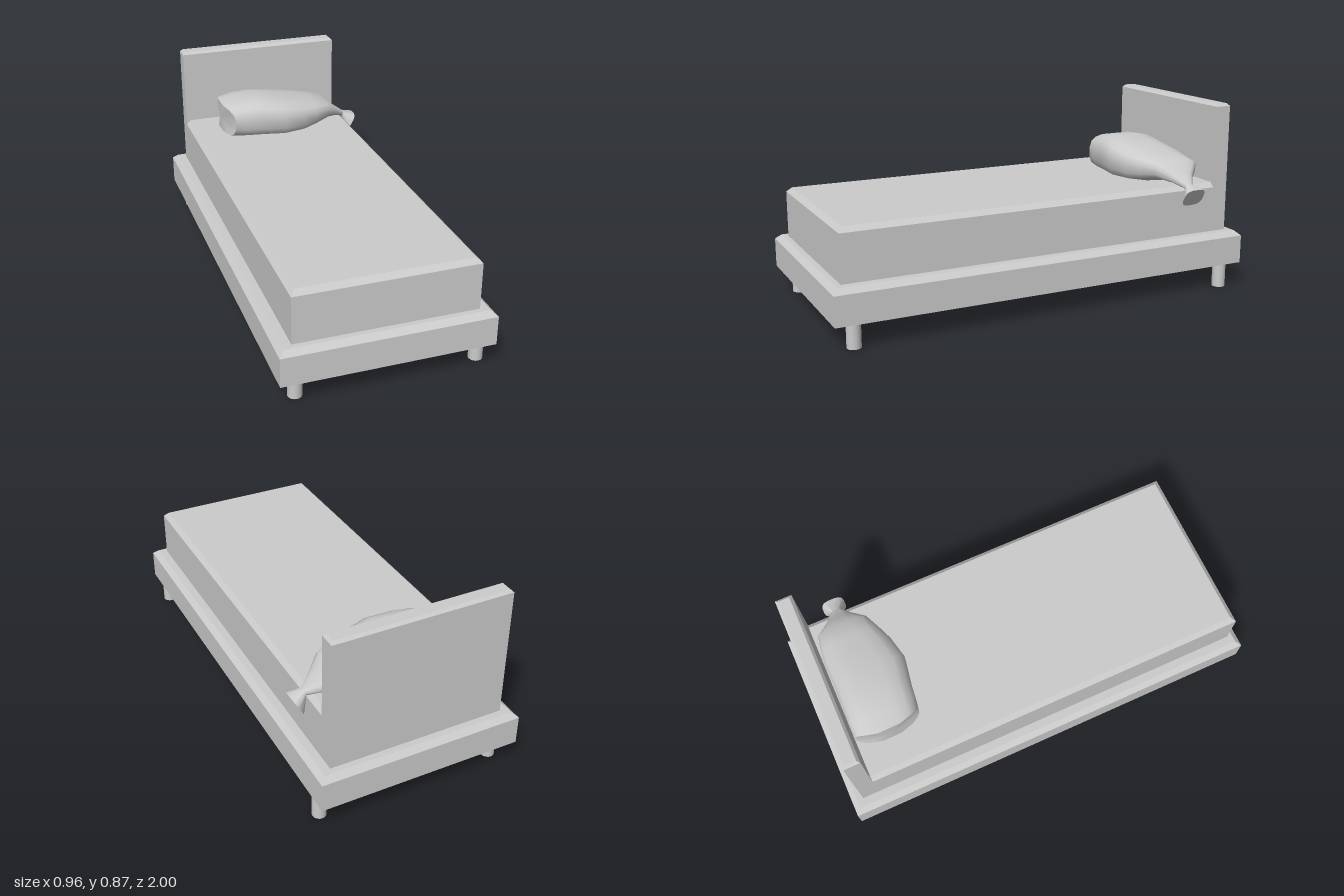
import * as THREE from 'three';
import { toCreasedNormals } from 'three/addons/utils/BufferGeometryUtils.js';

const material = new THREE.MeshStandardMaterial({ color: 0xcccccc });

function addMesh(parent, name, geometry, x = 0, y = 0, z = 0) {
  const mesh = new THREE.Mesh(geometry, material);
  mesh.name = name;
  mesh.position.set(x, y, z);
  parent.add(mesh);
  return mesh;
}

// Box standing on y = 0 whose top edges are chamfered (the back edge is optional)
function chamferedBlock(width, height, depth, inset, drop, chamferBack = true) {
  const geometry = new THREE.BoxGeometry(width, height, depth, 1, 2, 1);
  geometry.translate(0, height / 2, 0);
  const p = geometry.attributes.position;
  for (let i = 0; i < p.count; i++) {
    const level = Math.round((p.getY(i) / height) * 2);
    if (level === 1) p.setY(i, height - drop);
    if (level === 2) {
      p.setX(i, p.getX(i) - Math.sign(p.getX(i)) * inset);
      if (p.getZ(i) > 0 || chamferBack) p.setZ(i, p.getZ(i) - Math.sign(p.getZ(i)) * inset);
    }
  }
  return toCreasedNormals(geometry, 0.2);
}

// Rounded cross-sections lofted along x, closed at both ends
// section: [x, bottom, top, back, front, end bulge, lean]
function loft(sections, sides) {
  const points = [];
  const index = [];
  const squash = (v) => Math.sign(v) * Math.abs(v) ** 0.65;
  for (const [x, bottom, top, back, front, bulge, lean] of sections) {
    for (let j = 0; j < sides; j++) {
      const a = ((j + 0.5) / sides) * Math.PI * 2;
      const u = squash(Math.cos(a));
      const v = squash(Math.sin(a));
      const dy = (v * (top - bottom)) / 2;
      points.push(x - bulge * (1 - u * u) + lean * dy, (top + bottom) / 2 + dy, (front + back) / 2 + (u * (front - back)) / 2);
    }
  }
  const last = (sections.length - 1) * sides;
  for (let i = 0; i < sections.length - 1; i++) {
    for (let j = 0; j < sides; j++) {
      const a = i * sides + j;
      const b = i * sides + ((j + 1) % sides);
      index.push(a, a + sides, b, b, a + sides, b + sides);
    }
  }
  [[0, sections[0]], [last, sections[sections.length - 1]]].forEach(([start, s], end) => {
    const centre = points.length / 3;
    points.push(s[0] - s[5], (s[1] + s[2]) / 2, (s[3] + s[4]) / 2);
    for (let j = 0; j < sides; j++) {
      const a = start + j;
      const b = start + ((j + 1) % sides);
      if (end === 0) index.push(centre, a, b);
      else index.push(centre, b, a);
    }
  });
  const geometry = new THREE.BufferGeometry();
  geometry.setAttribute('position', new THREE.Float32BufferAttribute(points, 3));
  geometry.setIndex(index);
  return toCreasedNormals(geometry, 0.7);
}

export function createModel() {
  const model = new THREE.Group();
  model.name = 'bed';

  // Bed body, turned very slightly about the vertical
  const body = new THREE.Group();
  body.name = 'bedBody';
  body.position.x = -0.004;
  body.rotation.y = -0.0127;
  model.add(body);
  addMesh(body, 'frame', chamferedBlock(0.927, 0.155, 1.988, 0.025, 0.023), 0, 0.11, 0);
  addMesh(body, 'mattress', chamferedBlock(0.803, 0.233, 1.81, 0.022, 0.022, false), 0, 0.265, 0.04);
  addMesh(body, 'headboard', chamferedBlock(0.803, 0.602, 0.075, 0.012, 0.012), 0, 0.265, -0.9025);

  // Legs
  const leg = new THREE.CylinderGeometry(0.031, 0.031, 0.115, 16);
  const legSpots = {
    frontLeftLeg: [0.403, 0.91],
    frontRightLeg: [-0.395, 0.906],
    backLeftLeg: [0.436, -0.894],
    backRightLeg: [-0.388, -0.9],
  };
  for (const [name, [x, z]] of Object.entries(legSpots)) addMesh(model, name, leg, x, 0.0575, z);

  // Sagging pillow gathered into a knotted, flared end over the mattress edge
  const pillow = [
    [-0.21, 0.485, 0.642, -0.862, -0.56, 0.045, 0],
    [-0.16, 0.475, 0.658, -0.866, -0.55, 0.015, 0],
    [-0.08, 0.47, 0.667, -0.862, -0.54, 0, 0],
    [0.04, 0.47, 0.653, -0.858, -0.518, 0, 0],
    [0.15, 0.475, 0.632, -0.86, -0.54, 0, 0],
    [0.22, 0.49, 0.616, -0.852, -0.566, 0, 0],
    [0.3, 0.512, 0.6, -0.836, -0.6, 0, 0],
    [0.36, 0.502, 0.55, -0.775, -0.655, 0, 0],
    [0.412, 0.484, 0.508, -0.735, -0.695, 0, 0.3],
    [0.453, 0.411, 0.492, -0.77, -0.662, 0, 0.58],
  ];
  addMesh(model, 'pillow', loft(pillow, 16));

  return model;
}
